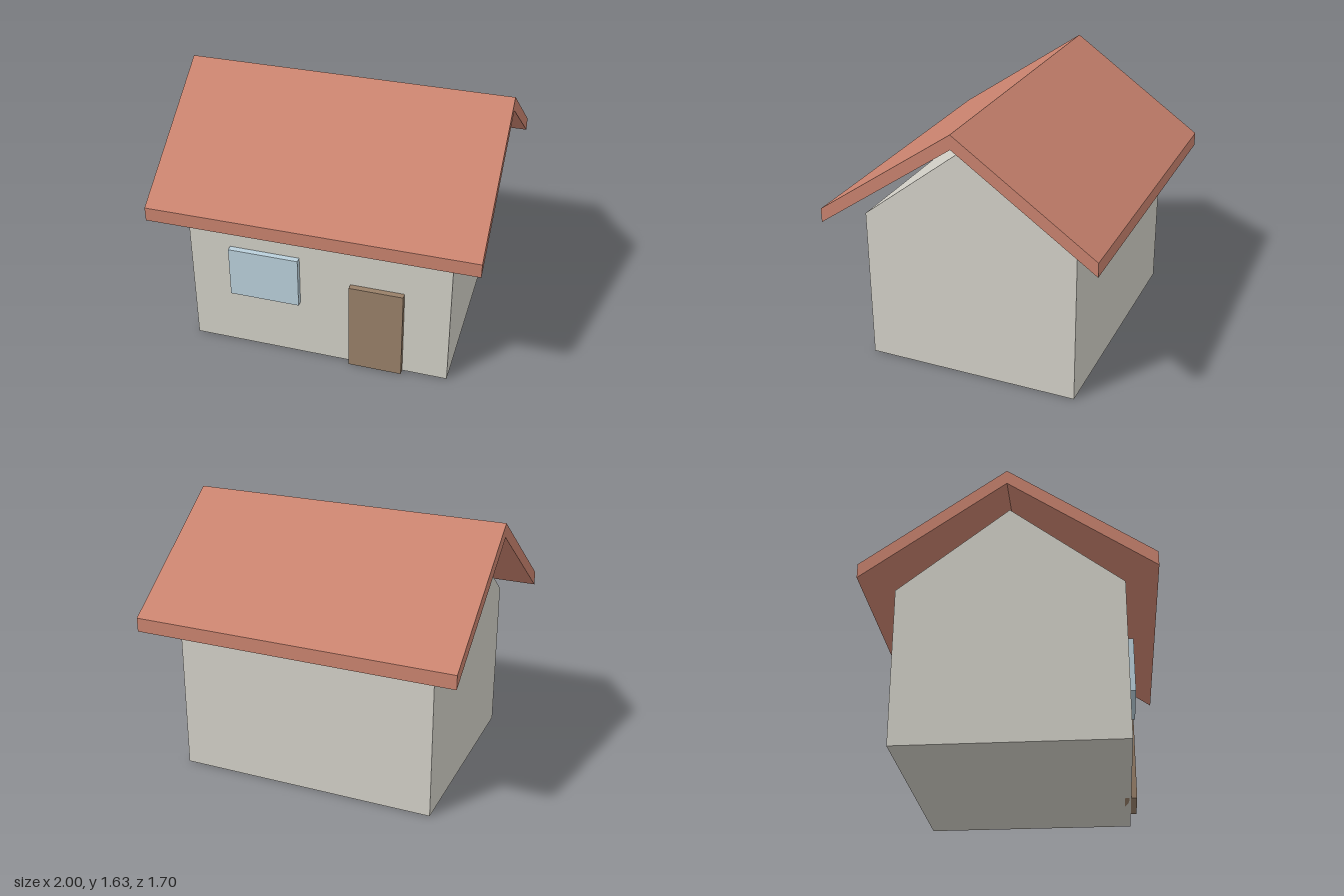
import * as THREE from 'three';

const material = (name, color) => {
  const m = new THREE.MeshStandardMaterial({ color });
  m.name = name;
  return m;
};

// Extrude a (z, y) profile along x, centred on x = 0.
function extrudeAlongX(points, width) {
  const shape = new THREE.Shape(points.map(([z, y]) => new THREE.Vector2(-z, y)));
  const geometry = new THREE.ExtrudeGeometry(shape, { depth: width, bevelEnabled: false });
  geometry.translate(0, 0, -width / 2);
  geometry.rotateY(Math.PI / 2);
  return geometry;
}

export function createModel() {
  const house = new THREE.Group();
  house.name = 'house';

  const add = (name, geometry, mat) => {
    const mesh = new THREE.Mesh(geometry, mat);
    mesh.name = name;
    house.add(mesh);
    return mesh;
  };

  // Gabled body
  add('walls', extrudeAlongX(
    [[0.667, 0], [-0.667, 0], [-0.667, 0.963], [0, 1.482], [0.667, 0.963]], 1.63
  ), material('wall grey', 0xd1cfc6));

  // Overhanging pitched roof, floating just above the gables
  add('roof', extrudeAlongX(
    [[0.852, 0.953], [0, 1.545], [-0.852, 0.953], [-0.852, 1.04], [0, 1.632], [0.852, 1.04]], 2
  ), material('roof terracotta', 0xc8826e));

  // Slabs standing out from the front wall
  const addSlab = (name, x0, x1, y0, y1, mat) => {
    const slab = add(name, new THREE.BoxGeometry(x1 - x0, y1 - y0, 0.074), mat);
    slab.position.set((x0 + x1) / 2, (y0 + y1) / 2, 0.667);
  };
  addSlab('door', 0.202, 0.535, 0, 0.595, material('door brown', 0x988069));
  addSlab('window', -0.556, -0.116, 0.393, 0.725, material('window blue', 0xbad0db));

  return house;
}
